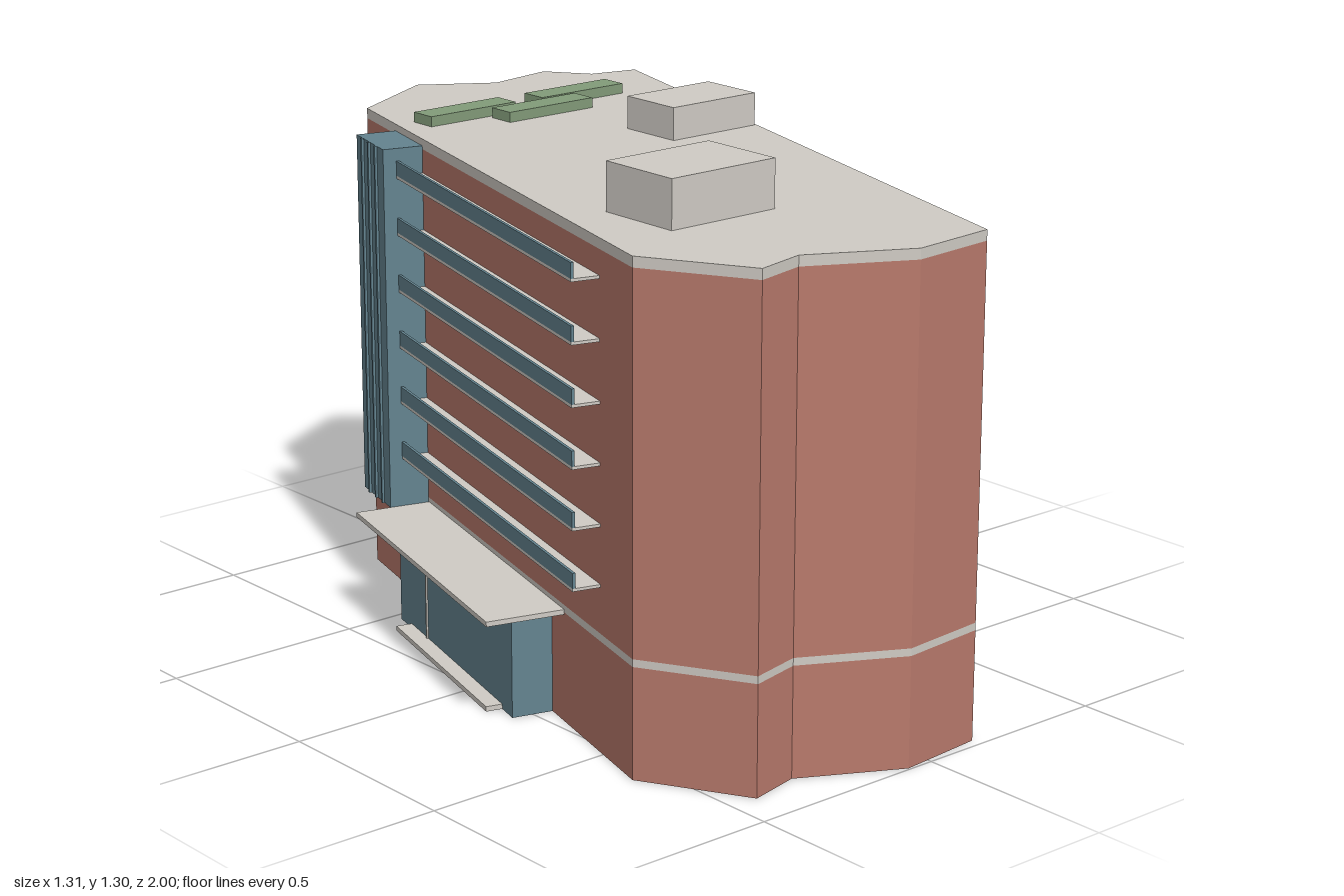
import * as THREE from 'three';

const mat = (name, color) => {
  const m = new THREE.MeshStandardMaterial({ color });
  m.name = name;
  return m;
};

export function createModel() {
  const brick = mat('brick', 0xb97a6c);
  const stone = mat('pale stone', 0xd0ccc5);
  const glass = mat('teal glass', 0x648490);
  const green = mat('planting', 0x839c7a);
  const model = new THREE.Group();
  model.name = 'building';

  // Floor outline as x, z corners
  const outline = [
    [0.11, -1], [0.28, -0.89], [0.46, -0.92], [0.535, -0.815], [0.655, -0.785], [0.155, 0.975],
    [-0.065, 0.995], [-0.3, 0.87], [-0.43, 0.9], [-0.57, 0.65], [-0.15, -0.86],
  ];
  const shape = new THREE.Shape(outline.map(([x, z]) => new THREE.Vector2(x, -z)));

  // Box given by its minimum and maximum on each axis
  function box(parent, name, material, [x0, x1], [y0, y1], [z0, z1]) {
    const mesh = new THREE.Mesh(new THREE.BoxGeometry(x1 - x0, y1 - y0, z1 - z0), material);
    mesh.position.set((x0 + x1) / 2, (y0 + y1) / 2, (z0 + z1) / 2);
    mesh.name = name;
    parent.add(mesh);
  }

  // Walls, stone band and roof slab, stacked flush
  for (const [name, material, y0, y1] of [
    ['lowerWalls', brick, 0, 0.265],
    ['stoneBand', stone, 0.265, 0.283],
    ['upperWalls', brick, 0.283, 1.16],
    ['roofSlab', stone, 1.16, 1.185],
  ]) {
    const geometry = new THREE.ExtrudeGeometry(shape, { depth: y1 - y0, bevelEnabled: false });
    geometry.rotateX(-Math.PI / 2);
    const mesh = new THREE.Mesh(geometry, material);
    mesh.position.y = y0;
    mesh.name = name;
    model.add(mesh);
  }

  // Rooftop plant rooms and planters
  box(model, 'largePlantRoom', stone, [-0.37, -0.07], [1.185, 1.3], [0.325, 0.545]);
  box(model, 'smallPlantRoom', stone, [0.195, 0.455], [1.185, 1.265], [-0.27, -0.1]);
  for (const [x, z] of [[-0.155, -0.66], [0.185, -0.655], [0.02, -0.575]]) {
    box(model, 'planter', green, [x, x + 0.26], [1.185, 1.21], [z, z + 0.07]);
  }

  // Long entrance wall: local x runs along the wall, local z points outward
  const facade = new THREE.Group();
  facade.name = 'entranceFacade';
  facade.position.set(-0.15, 0, -0.86);
  facade.rotation.y = Math.atan2(-0.963, -0.268);
  model.add(facade);

  // Window strips standing on the outer edge of their sills
  for (let i = 0; i < 6; i++) {
    const y = 0.392 + i * 0.1405;
    box(facade, 'windowSill', stone, [0.174, 1.4], [y, y + 0.007], [-0.01, 0.067]);
    box(facade, 'windowStrip', glass, [0.174, 1.4], [y + 0.007, y + 0.043], [0.06, 0.067]);
  }

  // Glazed stair tower with slim ribs
  box(facade, 'stairTower', glass, [0.193, 0.371], [0.27, 1.168], [-0.01, 0.1]);
  for (let i = 1; i < 4; i++) {
    const x = 0.193 + i * 0.0445;
    box(facade, 'towerRib', glass, [x - 0.004, x + 0.004], [0.27, 1.168], [0.1, 0.106]);
  }

  // Entrance lobby, canopy, door post and step
  box(facade, 'lobby', glass, [0.43, 1.13], [0, 0.26], [-0.01, 0.1]);
  box(facade, 'canopy', stone, [0.374, 1.2], [0.26, 0.272], [-0.01, 0.19]);
  box(facade, 'doorPost', stone, [0.604, 0.61], [0.012, 0.26], [0.1, 0.104]);
  box(facade, 'step', stone, [0.5, 1.07], [0, 0.012], [0.09, 0.14]);

  return model;
}
